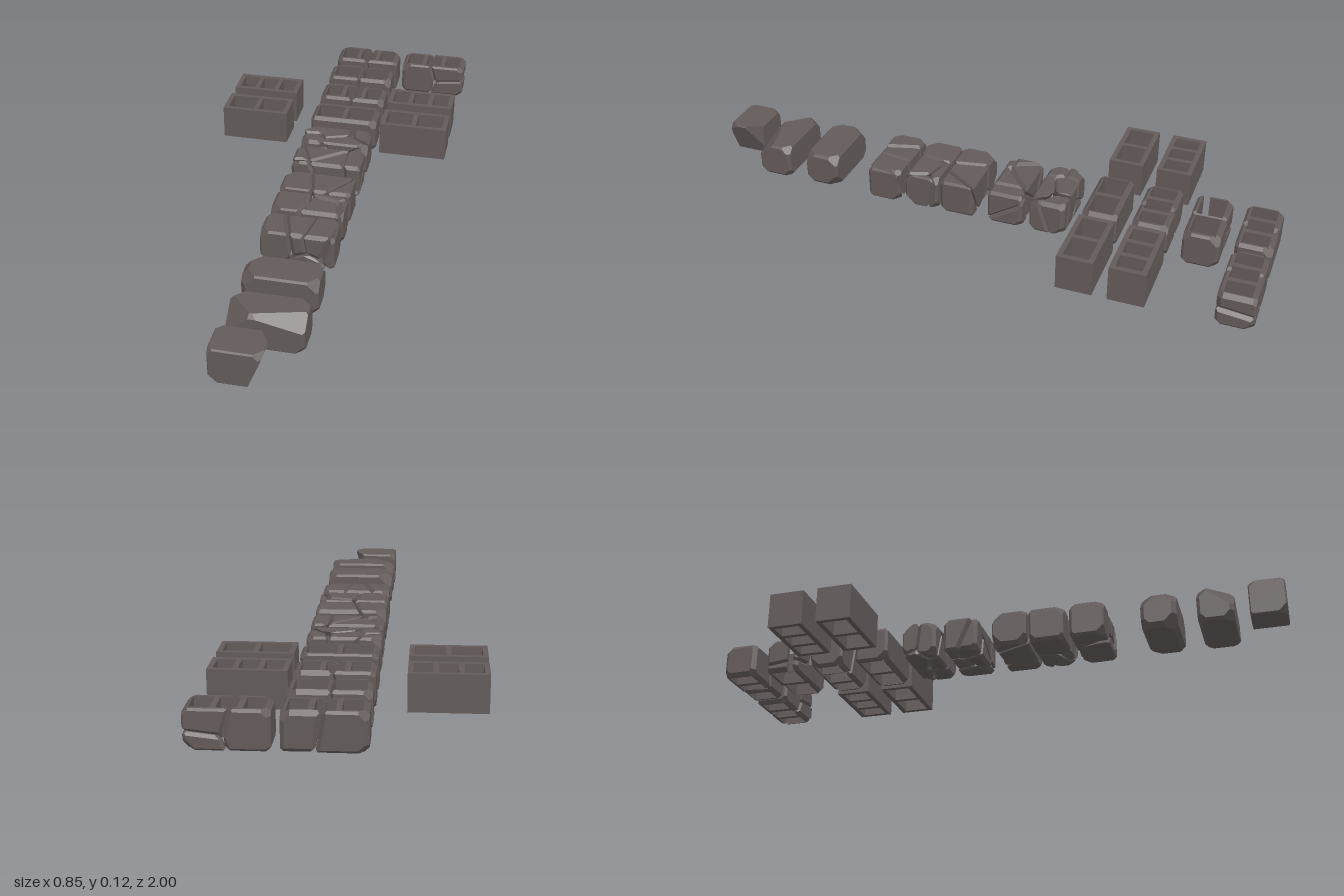
import * as THREE from 'three';

const stone = new THREE.MeshStandardMaterial({ color: 0x635b5a });
stone.name = 'dark stone';

const W = 0.245, H = 0.122, D = 0.12, WALL = 0.017;
const V = (x, y, z) => new THREE.Vector3(x, y, z);
const plane = (x, y, z, d) => {
  const l = Math.hypot(x, y, z);
  return { n: V(x / l, y / l, z / l), d: d / l };
};

let seed = 7;
const rand = (a, b) => {
  seed = (seed * 16807) % 2147483647;
  return a + (b - a) * (seed / 2147483647);
};

// Six planes of a box given by its minimum and maximum corners
const boxPlanes = (a, b) => [
  plane(1, 0, 0, b[0]), plane(-1, 0, 0, -a[0]), plane(0, 1, 0, b[1]),
  plane(0, -1, 0, -a[1]), plane(0, 0, 1, b[2]), plane(0, 0, -1, -a[2]),
];

// Bevel planes that shave the edge between every pair of planes
function bevels(planes, min, max) {
  const out = [];
  planes.forEach((p, i) => planes.slice(i + 1).forEach((q) => {
    const dot = p.n.dot(q.n);
    if (dot < -0.7 || dot > 0.93) return;
    const n = p.n.clone().add(q.n);
    const l = n.length();
    out.push({ n: n.divideScalar(l), d: (p.d + q.d) / l - rand(min, max) });
  }));
  return out;
}

// Convex solid enclosed by planes, one flat polygon per plane
function solid(planes) {
  const points = [];
  const a = V(), b = V(), c = V();
  for (let i = 0; i < planes.length; i++) for (let j = i + 1; j < planes.length; j++) {
    c.crossVectors(planes[i].n, planes[j].n);
    if (c.lengthSq() < 1e-6) continue;
    for (let k = j + 1; k < planes.length; k++) {
      const p = planes[i], q = planes[j], r = planes[k];
      const det = c.dot(r.n);
      if (Math.abs(det) < 1e-4) continue;
      const v = a.crossVectors(q.n, r.n).multiplyScalar(p.d)
        .add(b.crossVectors(r.n, p.n).multiplyScalar(q.d))
        .addScaledVector(c, r.d).divideScalar(det);
      if (planes.every((s) => s.n.dot(v) < s.d + 1e-7)) points.push(v.clone());
    }
  }
  const pos = [], nor = [];
  for (const { n, d } of planes) {
    const face = points.filter((v) => Math.abs(n.dot(v) - d) < 1e-6);
    if (face.length < 3) continue;
    const mid = face.reduce((s, v) => s.add(v), V()).divideScalar(face.length);
    const u = (Math.abs(n.y) < 0.9 ? V(0, 1, 0) : V(1, 0, 0)).cross(n).normalize();
    const w = n.clone().cross(u);
    const angle = (v) => Math.atan2(w.dot(v) - w.dot(mid), u.dot(v) - u.dot(mid));
    face.sort((s, t) => angle(s) - angle(t));
    for (let i = 1; i < face.length - 1; i++) for (const v of [face[0], face[i], face[i + 1]]) {
      pos.push(v.x, v.y, v.z);
      nor.push(n.x, n.y, n.z);
    }
  }
  if (!pos.length) return null;
  const g = new THREE.BufferGeometry();
  g.setAttribute('position', new THREE.Float32BufferAttribute(pos, 3));
  g.setAttribute('normal', new THREE.Float32BufferAttribute(nor, 3));
  return g;
}

// Boxes for the walls of a hollow block
function wallBoxes(holes, w, broken) {
  const x = w / 2, y = H / 2, z = D / 2, boxes = [];
  for (const s of [-1, 1]) {
    boxes.push([[-x, -y, s > 0 ? z - WALL : -z], [x, y, s > 0 ? z : WALL - z]]);
  }
  for (let i = 0; i <= holes; i++) {
    const cx = -x + WALL / 2 + (i * (w - WALL)) / holes;
    const end = broken && i === 0 ? 0.02 : z - WALL;
    boxes.push([[cx - WALL / 2, -y, WALL - z], [cx + WALL / 2, y, end]]);
  }
  return boxes;
}

// Worn block: split into cells around seed points, each cell bevelled
function wornBlock(name, { x = 0.033, z, w = W, seeds = [[0, 0, 0]], bevel = [0.003, 0.009],
  corner = [0.01, 0.026], cuts = [], holes = 0, broken = false }) {
  const group = new THREE.Group();
  group.name = name;
  group.position.set(x, H / 2, z);
  const half = [w / 2, H / 2, D / 2];
  const body = boxPlanes(half.map((h) => -h), half);
  const corners = [];
  for (const i of [-1, 1]) for (const j of [-1, 1]) for (const k of [-1, 1]) {
    corners.push(plane(i, j, k, half[0] + half[1] + half[2] - rand(...corner) * Math.sqrt(3)));
  }
  const chips = [...corners, ...cuts.map((c) => plane(...c))];
  const centres = seeds.map((s) => V(...s));
  centres.forEach((s) => {
    const cracks = centres.filter((t) => t !== s).map((t) => {
      const n = t.clone().sub(s).normalize();
      return { n, d: n.dot(s.clone().add(t).multiplyScalar(0.5)) - 0.0006 };
    });
    const cell = [...body, ...cracks];
    const shape = [...cell, ...bevels(cell, ...bevel), ...chips];
    const parts = holes ? wallBoxes(holes, w, broken).map((b) => [...shape, ...boxPlanes(...b)]) : [shape];
    for (const p of parts) {
      const g = solid(p);
      if (!g) continue;
      const mesh = new THREE.Mesh(g, stone);
      mesh.name = holes ? 'wallPiece' : 'stonePiece';
      group.add(mesh);
    }
  });
  return group;
}

// Clean hollow block with square edges
function hollowBlock(name, x, z, holes) {
  const rect = (P, x0, x1, h) => new P([[x0, -h], [x1, -h], [x1, h], [x0, h]].map((p) => new THREE.Vector2(...p)));
  const s = rect(THREE.Shape, -W / 2, W / 2, D / 2);
  const pitch = (W - WALL) / holes;
  for (let i = 0; i < holes; i++) {
    const x0 = -W / 2 + WALL + i * pitch;
    s.holes.push(rect(THREE.Path, x0, x0 + pitch - WALL, D / 2 - WALL));
  }
  const g = new THREE.ExtrudeGeometry(s, { depth: H, bevelEnabled: false }).rotateX(-Math.PI / 2);
  const mesh = new THREE.Mesh(g, stone);
  mesh.name = name;
  mesh.position.set(x, 0, z);
  return mesh;
}

export function createModel() {
  const root = new THREE.Group();
  root.name = 'stoneBlocks';

  // Clean hollow blocks on both sides
  for (const x of [-0.306, 0.295]) {
    root.add(hollowBlock('twoHoleBlock', x, -0.433, 2), hollowBlock('threeHoleBlock', x, -0.603, 3));
  }

  // Worn hollow blocks
  const split = [[-0.07, 0.02, 0], [0.05, -0.01, 0.01]];
  const hollow = { bevel: [0.004, 0.01], corner: [0.012, 0.025] };
  root.add(
    wornBlock('wornTwoHoleBlock', { ...hollow, z: -0.433, holes: 2 }),
    wornBlock('wornThreeHoleBlock', { ...hollow, z: -0.603, holes: 3, seeds: split }),
    wornBlock('brokenTwoHoleBlock', { ...hollow, z: -0.773, holes: 2, broken: true,
      seeds: [[-0.08, 0.03, 0], [-0.06, -0.06, 0.01], [0.06, 0, 0]] }),
    wornBlock('crackedThreeHoleBlock', { ...hollow, z: -0.94, holes: 3, seeds: [[-0.05, 0, 0], [0.07, 0.02, 0.01]] }),
    wornBlock('crackedSideBlock', { ...hollow, x: 0.302, z: -0.94, holes: 3,
      seeds: [[-0.06, 0, 0], [0.07, 0.04, 0], [0.08, -0.05, 0.01]] }),
  );

  // Solid blocks, from shattered to merely worn
  const rubble = (count) => Array.from({ length: count }, (_, i) => [
    -0.1 + (0.2 * (i + 0.5)) / count + rand(-0.015, 0.015), rand(-0.05, 0.05), (i % 2 ? 1 : -1) * rand(0.01, 0.05)]);
  root.add(
    wornBlock('shatteredBlock', { z: -0.255, seeds: rubble(9) }),
    wornBlock('shatteredBlock', { z: -0.105, seeds: rubble(8) }),
    wornBlock('crackedBlock', { z: 0.07, seeds: [[-0.07, 0.02, 0], [0.03, 0.03, -0.02], [0.09, 0, 0.02], [0.0, -0.05, 0.03]] }),
    wornBlock('crackedBlock', { z: 0.2, seeds: [[-0.06, 0, 0], [0.06, 0.03, 0.03], [0.075, 0, -0.04], [0.12, 0.01, 0.01]] }),
    wornBlock('crackedBlock', { z: 0.34, seeds: [[-0.07, 0, 0.01], [0.0, 0.01, -0.01], [0.07, 0.02, 0], [0.13, 0, 0.01], [0.03, -0.08, 0.02]] }),
    wornBlock('wornBlock', { z: 0.583, bevel: [0.004, 0.014], corner: [0.015, 0.035] }),
    wornBlock('chippedBlock', { z: 0.77, bevel: [0.003, 0.01], corner: [0.015, 0.03],
      cuts: [[-0.75, 0.8, 0.66, 0.114], [0.26, 1.2, 0.97, 0.109]] }),
    wornBlock('brokenBlock', { x: -0.0075, z: 0.94, w: 0.165, bevel: [0.002, 0.005], corner: [0.004, 0.02],
      cuts: [[1, -0.4, 0, 0.058], [1, 0, -0.6, 0.0835], [1, 0, 0.8, 0.1155]] }),
  );
  return root;
}
